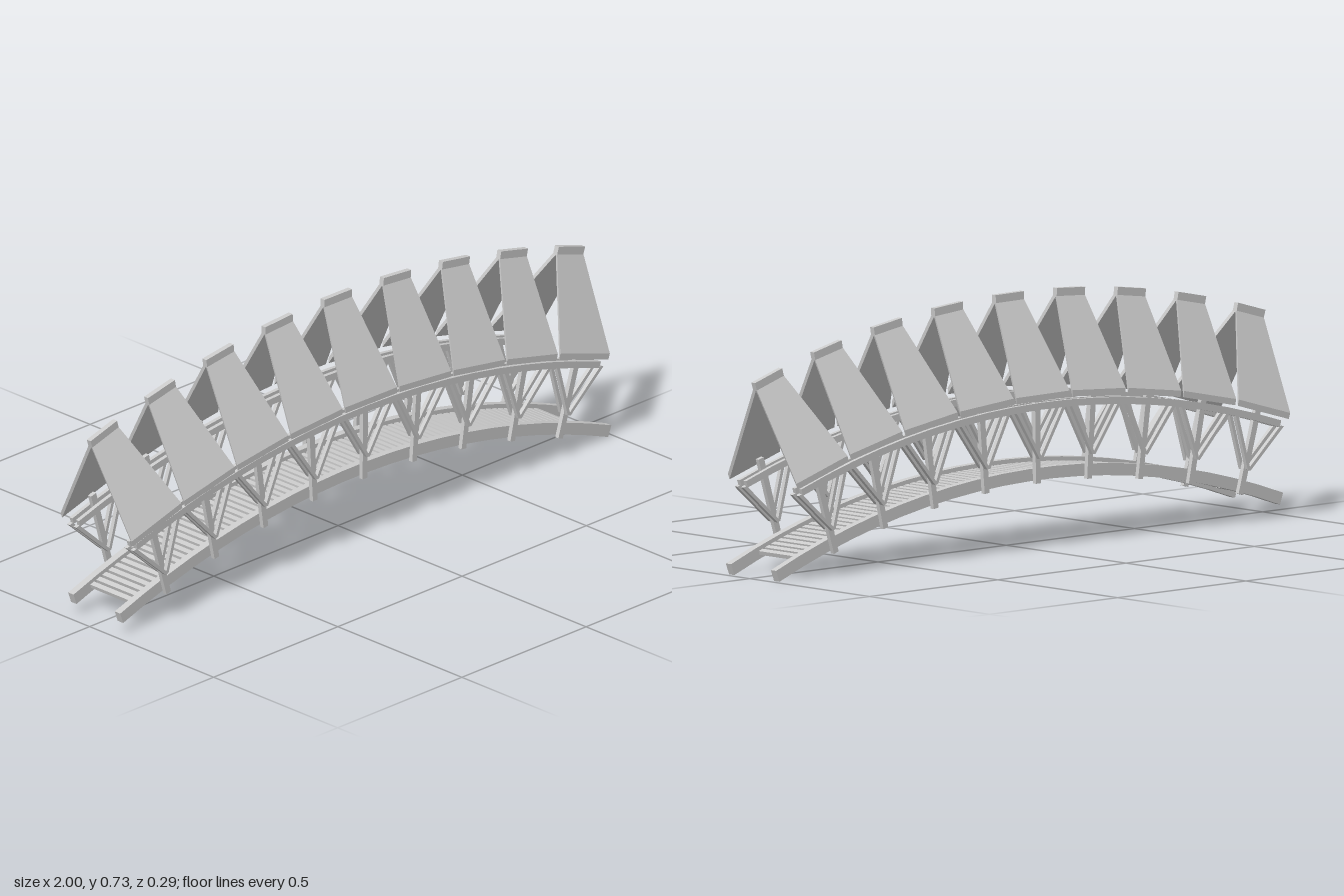
import * as THREE from 'three';

const R = 2.8;        // radius of the deck arch
const BAY = 0.0725;   // angle between two posts
const lerp = THREE.MathUtils.lerp;

export function createModel() {
  const model = new THREE.Group();
  model.name = 'coveredArchBridge';
  const bridge = new THREE.Group();
  bridge.name = 'bridge';
  bridge.position.set(-0.012, 0.231, 0);
  bridge.rotation.z = -0.01;
  model.add(bridge);

  const material = new THREE.MeshStandardMaterial({ color: 0xcccccc, flatShading: true });

  const section = (name) => {
    const group = new THREE.Group();
    group.name = name;
    bridge.add(group);
    return group;
  };

  // Bends a unit box: rule(u, v, w) returns [angle along arch, height above arch, z]
  const warped = (parent, name, segments, rule) => {
    const geometry = new THREE.BoxGeometry(1, 1, 1, segments, 1, 1);
    const p = geometry.attributes.position;
    for (let i = 0; i < p.count; i++) {
      const [a, h, z] = rule(p.getX(i), p.getY(i) + 0.5, p.getZ(i));
      p.setXYZ(i, Math.sin(a) * (R + h), Math.cos(a) * (R + h) - R, z);
    }
    const flat = geometry.toNonIndexed();
    flat.computeVertexNormals();
    const mesh = new THREE.Mesh(flat, material);
    mesh.name = name;
    parent.add(mesh);
  };

  // Bar following the arch between two angles
  const arc = (parent, name, a0, a1, h0, h1, z, depth, segments = 1) =>
    warped(parent, name, segments, (u, v, w) =>
      [lerp(a0, a1, u + 0.5), lerp(h0, h1, v), z + w * depth]);

  // Straight bar from (a0, h0) to (a1, h1) in the plane of the side frame
  const strut = (parent, name, a0, h0, a1, h1, width, z, depth) =>
    warped(parent, name, 1, (u, v, w) =>
      [lerp(a0, a1, v) + u * width, lerp(h0, h1, v), z + w * depth]);

  // Deck planks
  const deck = section('deck');
  for (let i = -36; i <= 36; i++) {
    const a = i * BAY / 8;
    arc(deck, 'plank', a - 0.0029, a + 0.0029, -0.024, -0.012, 0, 0.17);
  }

  // Side frames: arched beam, rails, posts and pairs of braces
  for (const s of [1, -1]) {
    const frame = section(s > 0 ? 'frontFrame' : 'backFrame');
    arc(frame, 'archBeam', -0.353, 0.3687, -0.035, 0, s * 0.094, 0.022, 20);
    for (const z of [0.1285, 0.102]) {
      arc(frame, 'rail', -0.318, 0.318, 0.172, 0.192, s * z, 0.012, 18);
    }
    for (let i = -4; i <= 4; i++) {
      const a = i * BAY;
      strut(frame, 'post', a, -0.042, a, 0.225, 0.0068, s * 0.1145, 0.013);
      for (const z of [0.1285, 0.102]) {
        for (const side of [-1, 1]) {
          strut(frame, 'brace', a, 0.03, a + side * 0.031, 0.178, 0.0042, s * z, 0.012);
        }
      }
    }
  }

  // Roof: nine separate tapered gables, each with a ridge cap
  const roof = section('roof');
  for (let i = -4; i <= 4; i++) {
    const a = i * BAY;
    for (const s of [1, -1]) {
      warped(roof, 'roofPanel', 1, (u, v, w) => [
        a + s * u * lerp(0.069, 0.032, v),
        lerp(0.21, 0.478, v) + w * 0.018,
        s * lerp(0.143, 0, v),
      ]);
    }
    arc(roof, 'ridgeCap', a - 0.0168, a + 0.0168, 0.47, 0.495, 0, 0.016);
  }

  return model;
}
